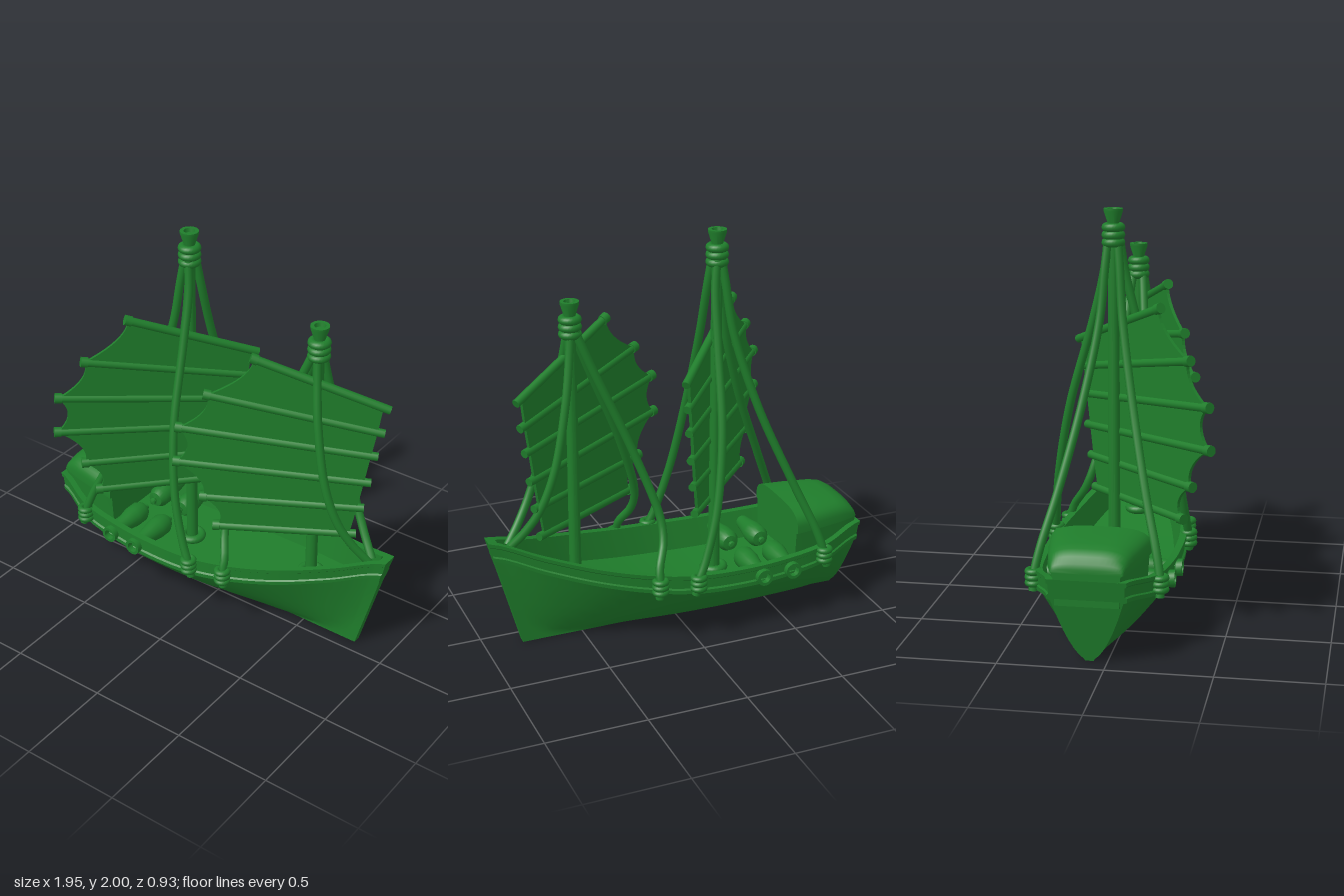
import * as THREE from 'three';
import { toCreasedNormals } from 'three/addons/utils/BufferGeometryUtils.js';

const V = (x, y, z) => new THREE.Vector3(x, y, z);
const green = new THREE.MeshStandardMaterial({ color: 0x1f7d2b });

function add(parent, name, geometry, x = 0, y = 0, z = 0) {
  const mesh = new THREE.Mesh(geometry, green);
  mesh.name = name;
  mesh.position.set(x, y, z);
  parent.add(mesh);
  return mesh;
}

// Skin over closed cross-sections that follow +x, with a fan cap at each end
function loft(sections) {
  const n = sections[0].length, pos = [];
  const tri = (...pts) => pts.forEach((p) => pos.push(p.x, p.y, p.z));
  for (let i = 0; i < sections.length - 1; i++) {
    for (let j = 0; j < n; j++) {
      const k = (j + 1) % n, a = sections[i], b = sections[i + 1];
      tri(a[j], b[j], a[k]);
      tri(b[j], b[k], a[k]);
    }
  }
  for (const end of [0, 1]) {
    const s = sections[end ? sections.length - 1 : 0];
    const c = s.reduce((m, p) => m.add(p), V(0, 0, 0)).divideScalar(n);
    for (let j = 0; j < n; j++) {
      const k = (j + 1) % n;
      if (end) tri(c, s[k], s[j]); else tri(c, s[j], s[k]);
    }
  }
  const g = new THREE.BufferGeometry();
  g.setAttribute('position', new THREE.Float32BufferAttribute(pos, 3));
  return toCreasedNormals(g, 0.6);
}

// Evenly spaced values from stern to bow, smoothly interpolated
const along = (values) => {
  const curve = new THREE.SplineCurve(values.map((v, i) => new THREE.Vector2(i, v)));
  return (t) => curve.getPoint(t).y;
};
const halfWidth = along([0.185, 0.285, 0.322, 0.335, 0.33, 0.29, 0.225, 0.13, 0.04]);
const sheer = along([0.41, 0.37, 0.35, 0.345, 0.355, 0.385, 0.435, 0.5, 0.58]);

function hullSection(t, open) {
  const w = halfWidth(t), top = sheer(t), wale = top - 0.1;
  const deck = open ? top - 0.15 : top - 0.001;
  const side = [0, 0.03, 0.1, 0.2, 0.35, 0.5, 0.7, 0.85, 1].map((s) =>
    [Math.max(0.02, (w - 0.015) * s ** 0.55), wale * s]);
  // Moulded band, rail and inner wall
  side.push([w, wale], [w, wale + 0.02], [w - 0.009, wale + 0.027], [w - 0.009, top - 0.027],
    [w, top - 0.02], [w, top], [Math.max(0.004, w - 0.035), top], [Math.max(0.003, w * 0.85 - 0.015), deck]);
  const point = ([z, y], sign) => V(THREE.MathUtils.lerp(-0.9 + 1.71 * t, -0.975 + 1.945 * t, y / top), y, z * sign);
  return [...side.map((p) => point(p, 1)), ...side.reverse().map((p) => point(p, -1))];
}

function cabinSection(x, w, h) {
  const pts = [V(x, 0.28, w * 0.9), V(x, 0.43, w * 0.94)];
  for (let i = 0; i <= 20; i++) {
    const a = (i / 20) * Math.PI, c = Math.cos(a);
    pts.push(V(x, 0.435 + h * Math.abs(Math.sin(a)) ** 0.6, w * Math.sign(c) * Math.abs(c) ** 0.6));
  }
  pts.push(V(x, 0.43, -w * 0.94), V(x, 0.28, -w * 0.9));
  return pts;
}

function rope(parent, name, points, radius = 0.021) {
  const curve = new THREE.CatmullRomCurve3(points.map((p) => V(...p)));
  add(parent, name, new THREE.TubeGeometry(curve, 40, radius, 10));
}

// Stack of three wound rope turns
function lashing(parent, name, x, y, z, radius, gap, thick) {
  for (const i of [-1, 0, 1]) {
    add(parent, name, new THREE.TorusGeometry(radius, thick, 10, 24), x, y + i * gap, z).rotation.x = Math.PI / 2;
  }
}

function mast(parent, name, x, top) {
  const g = new THREE.Group();
  g.name = name;
  g.position.x = x;
  const profile = [[0.001, 0.18], [0.03, 0.18], [0.027, top - 0.1], [0.026, top - 0.075], [0.046, top - 0.012],
    [0.046, top], [0.028, top], [0.024, top - 0.02], [0.001, top - 0.02]];
  const lathe = new THREE.LatheGeometry(profile.map((p) => new THREE.Vector2(...p)), 24);
  add(g, 'mastPole', toCreasedNormals(lathe, 0.5));
  lashing(g, 'mastLashing', 0, top - 0.125, 0, 0.036, 0.036, 0.021);
  const base = sheer((x + 0.975) / 1.945) - 0.135;
  add(g, 'mastStep', new THREE.TorusGeometry(0.05, 0.022, 10, 24), 0, base, 0).rotation.x = Math.PI / 2;
  parent.add(g);
}

// Battened fan sail; each row is [left, left y, right, right y]
const battens = [
  [-0.277, 1.56, 0.355, 1.325], [-0.5, 1.35, 0.335, 1.19], [-0.637, 1.157, 0.31, 1.055],
  [-0.65, 0.96, 0.284, 0.9], [-0.52, 0.76, 0.257, 0.748], [-0.455, 0.59, 0.225, 0.59],
];
function sail(parent, name, x, angle) {
  const g = new THREE.Group();
  g.name = name;
  g.position.set(x, 0, 0.045);
  g.rotation.y = angle;
  const shape = new THREE.Shape();
  shape.moveTo(battens[0][0], battens[0][1]);
  for (let i = 1; i < battens.length; i++) {
    const [a, b] = [battens[i - 1], battens[i]];
    shape.quadraticCurveTo((a[0] + b[0]) / 2 + 0.1, (a[1] + b[1]) / 2, b[0], b[1]);
  }
  [...battens].reverse().forEach((b) => shape.lineTo(b[2] - 0.02, b[3]));
  add(g, 'sailCloth', new THREE.ExtrudeGeometry(shape, { depth: 0.016, bevelEnabled: false, curveSegments: 10 }), 0, 0, -0.008);
  for (const [x0, y0, x1, y1] of battens) {
    const length = Math.hypot(x1 - x0, y1 - y0) + 0.03;
    const tilt = Math.atan2(y1 - y0, x1 - x0) - Math.PI / 2;
    const pole = add(g, 'batten', new THREE.CylinderGeometry(0.021, 0.021, length, 14), (x0 + x1) / 2, (y0 + y1) / 2, 0);
    pole.rotation.z = tilt;
    const collar = add(g, 'battenCollar', new THREE.CylinderGeometry(0.026, 0.026, 0.035, 14), x0, y0, 0);
    collar.rotation.z = tilt;
  }
  parent.add(g);
}

// Gun barrel, muzzle pointing outboard
const gunProfile = [[0.001, -0.125], [0.016, -0.12], [0.018, -0.105], [0.012, -0.095], [0.04, -0.09], [0.056, -0.06],
  [0.056, 0], [0.045, 0.06], [0.033, 0.15], [0.033, 0.165], [0.042, 0.17], [0.042, 0.2], [0.027, 0.2], [0.024, 0.17], [0.001, 0.17]];

export function createModel() {
  const ship = new THREE.Group();
  ship.name = 'ship';
  ship.position.z = -0.085;

  // Hull with sunken deck
  const sections = [hullSection(0, false)];
  for (let i = 0; i <= 40; i++) sections.push(hullSection(0.02 + (0.95 * i) / 40, true));
  sections.push(hullSection(0.975, false), hullSection(1, false));
  add(ship, 'hull', loft(sections));

  // Stern cabin with arched roof
  add(ship, 'cabin', loft([[-0.957, 0.165, 0.02], [-0.95, 0.17, 0.045], [-0.93, 0.178, 0.075], [-0.89, 0.19, 0.1],
    [-0.84, 0.203, 0.11], [-0.7, 0.23, 0.113], [-0.585, 0.245, 0.113]].map((s) => cabinSection(...s))));

  mast(ship, 'mainMast', -0.23, 2);
  mast(ship, 'foreMast', 0.52, 1.735);
  sail(ship, 'mainSail', -0.23, 0.81);
  sail(ship, 'foreSail', 0.52, 0.525);

  for (const s of [1, -1]) {
    // Standing ropes
    rope(ship, 'mainAftStay', [[-0.24, 1.88, s * 0.02], [-0.262, 1.73, s * 0.035], [-0.3, 1.48, s * 0.055],
      [-0.41, 1.1, s * 0.12], [-0.57, 0.7, s * 0.21], [-0.67, 0.46, s * 0.275], [-0.71, 0.33, s * 0.3], [-0.725, 0.26, s * 0.3]]);
    rope(ship, 'mainForeStay', [[-0.22, 1.88, s * 0.025], [-0.2, 1.7, s * 0.05], [-0.19, 1.45, s * 0.11],
      [-0.165, 1.03, s * 0.23], [-0.11, 0.67, s * 0.3], [-0.04, 0.43, s * 0.33], [0, 0.33, s * 0.34], [0.015, 0.26, s * 0.34]]);
    rope(ship, 'foreAftStay', [[0.51, 1.61, s * 0.02], [0.48, 1.53, s * 0.03], [0.42, 1.38, s * 0.045], [0.24, 0.95, s * 0.1],
      [0.135, 0.62, s * 0.175], [0.14, 0.51, s * 0.22], [0.185, 0.41, s * 0.285], [0.19, 0.33, s * 0.31], [0.195, 0.26, s * 0.31]]);
    rope(ship, 'bowStay', [[0.525, 1.61, s * 0.02], [0.54, 1.48, s * 0.04], [0.58, 1.24, s * 0.08], [0.65, 0.93, s * 0.105],
      [0.72, 0.74, s * 0.09], [0.79, 0.62, s * 0.055], [0.86, 0.53, s * 0.015]]);
    // Rail lashings
    for (const [x, z] of [[-0.71, 0.3], [0, 0.34], [0.19, 0.31]]) {
      lashing(ship, 'railLashing', x, 0.325, s * z, 0.027, 0.028, 0.016);
    }
    // Guns through the sides
    for (const x of [-0.52, -0.355]) {
      const barrel = new THREE.LatheGeometry(gunProfile.map((p) => new THREE.Vector2(...p)), 20);
      const gun = add(ship, 'gun', toCreasedNormals(barrel, 0.6), x, 0.285, s * (halfWidth((x + 0.975) / 1.945) - 0.175));
      gun.rotation.x = (s * Math.PI) / 2;
    }
  }

  const model = new THREE.Group();
  model.name = 'sailingBoat';
  model.add(ship);
  return model;
}
